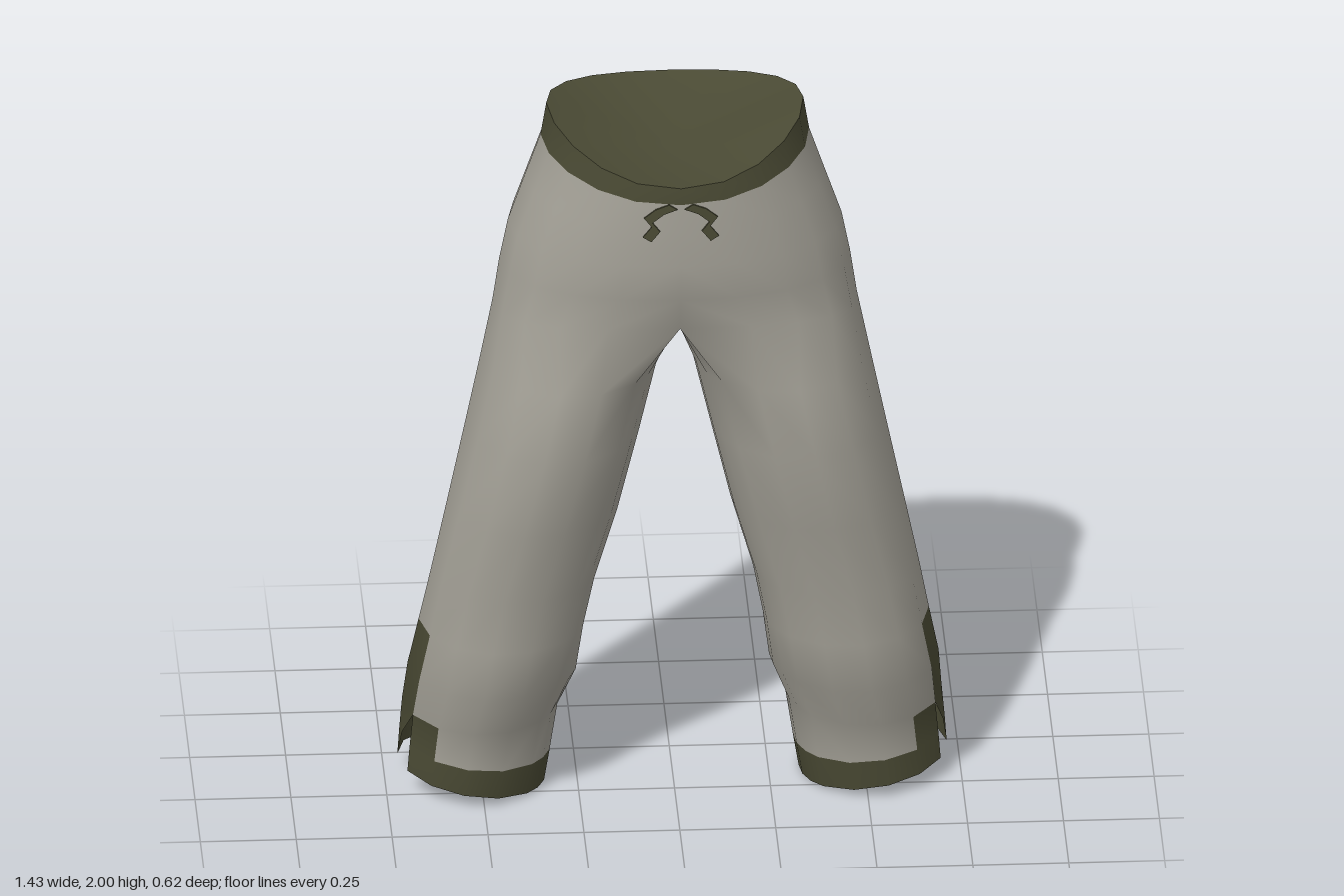
import * as THREE from 'three';
import { mergeVertices } from 'three/addons/utils/BufferGeometryUtils.js';

const rad = THREE.MathUtils.degToRad;

// Hip rows: front y, side y, back y, half width, front z, side z, back z
const hipRows = [
  [1.885, 2.0, 1.97, 0.335, 0.305, 0.01, -0.228],
  [1.84, 1.91, 1.885, 0.35, 0.31, 0.01, -0.24],
  [1.76, 1.79, 1.77, 0.39, 0.31, 0.0, -0.28],
  [1.66, 1.66, 1.66, 0.435, 0.31, 0.0, -0.308],
  [1.56, 1.55, 1.56, 0.457, 0.303, 0.0, -0.298],
  [1.46, 1.43, 1.45, 0.475, 0.265, 0.0, -0.255],
];

// Leg rows: y, inner x, outer x, front z, side z, back z, tilt of the row
const legRows = [
  [1.27, 0.045, 0.508, 0.272, 0.01, -0.24, 0],
  [1.08, 0.09, 0.547, 0.282, 0.01, -0.23, 0],
  [0.85, 0.145, 0.595, 0.24, 0.01, -0.215, 0],
  [0.64, 0.205, 0.638, 0.2, 0.0, -0.2, 0],
  [0.49, 0.232, 0.665, 0.19, -0.04, -0.24, 0],
  [0.35, 0.25, 0.692, 0.178, -0.07, -0.283, 0],
  [0.22, 0.295, 0.703, 0.11, -0.13, -0.295, 0],
  [0.11, 0.315, 0.711, 0.1, -0.125, -0.303, 0.02],
  [0.03, 0.33, 0.716, 0.09, -0.12, -0.31, 0.03],
];

// Half ring from front centre, round the side, to back centre (11 points)
function hipRing([yF, yS, yB, w, zF, zS, zB], row) {
  const pts = [];
  const power = row === hipRows.length - 1 ? 0.8 : 0.93;
  for (let i = 0; i <= 10; i++) {
    const a = rad(90 - 18 * i);
    const s = Math.sin(a);
    const x = i % 10 ? w * Math.pow(Math.cos(a), power) : 0;
    const d = Math.pow(Math.abs(s), power);
    const y = yS + ((s > 0 ? yF : yB) - yS) * s * s;
    let z = zS + d * ((s > 0 ? zF : zB) - zS);
    if (i === 10 && row > 1) z += 0.02; // seat crease
    pts.push([x, y, z]);
  }
  return pts;
}

// Closed ring of 16 points; the last five run along the inner leg
function legRing([y, xIn, xOut, zF, zS, zB, tilt]) {
  const cx = (xIn + xOut) / 2, r = (xOut - xIn) / 2;
  return Array.from({ length: 16 }, (_, i) => {
    const a = rad(i <= 10 ? 135 - 27 * i : -135 - 15 * (i - 10));
    const s = Math.sin(a), c = Math.cos(a);
    return [cx + r * c, y + tilt * c, zS + Math.abs(s) * ((s > 0 ? zF : zB) - zS)];
  });
}

function buildGeometry(faces) {
  const geo = new THREE.BufferGeometry();
  geo.setAttribute('position', new THREE.Float32BufferAttribute(faces.flat(3), 3));
  let start = 0;
  faces.forEach((list, m) => {
    geo.addGroup(start, list.length * 3, m);
    start += list.length * 3;
  });
  const merged = mergeVertices(geo, 1e-4);
  merged.computeVertexNormals();
  return merged;
}

export function createModel() {
  const cloth = new THREE.MeshStandardMaterial({ color: 0xa5a298, side: THREE.DoubleSide });
  cloth.name = 'greyCloth';
  const trim = new THREE.MeshStandardMaterial({ color: 0x4a4a34, side: THREE.DoubleSide });
  trim.name = 'oliveTrim';

  const hips = hipRows.map(hipRing);
  const legs = legRows.map(legRing);

  // Crotch line joins the back of the last hip row to its front
  const last = hips[hips.length - 1];
  const crotch = [...last];
  for (let i = 1; i <= 5; i++) {
    const t = i / 6;
    const y = THREE.MathUtils.lerp(last[10][1], last[0][1], t) - 0.06 * Math.sin(Math.PI * t);
    crotch.push([0, y, THREE.MathUtils.lerp(last[10][2], last[0][2], t)]);
  }
  const tubes = [crotch, ...legs];

  const faces = [[], []]; // cloth, trim
  const capFaces = [[]];
  for (const side of [1, -1]) {
    const tri = (list, a, b, c) =>
      list.push((side > 0 ? [a, b, c] : [a, c, b]).map(([x, y, z]) => [x * side, y, z]));
    const quad = (list, a, b, c, d) => {
      tri(list, a, d, c);
      tri(list, a, c, b);
    };
    // Waistband and hips
    for (let r = 0; r < hips.length - 1; r++)
      for (let i = 0; i < 10; i++)
        quad(faces[r === 0 ? 1 : 0], hips[r][i], hips[r][i + 1], hips[r + 1][i + 1], hips[r + 1][i]);

    // Legs, with trimmed hem and outer ankle slit
    for (let r = 0; r < tubes.length - 1; r++)
      for (let i = 0; i < 16; i++) {
        const j = (i + 1) % 16;
        const hem = r === 8, ankle = r >= 7;
        const strip = r >= 5 && i === 4;
        const list = faces[hem || strip || (ankle && i === 3) ? 1 : 0];
        const a = tubes[r][i], b = tubes[r][j], c = tubes[r + 1][j], d = tubes[r + 1][i];
        if (ankle && i === 4) {
          // Slit: straight front edge, slanting back edge
          const apex = tubes[7][4];
          const mid = tubes[8][5].map((v, k) => (v + (apex[k] + tubes[9][5][k]) / 2) / 2);
          if (hem) tri(list, b, mid, c);
          else {
            tri(list, a, mid, b);
            tri(list, mid, c, b);
          }
        } else quad(list, a, b, c, d);
      }

    // Dished surface inside the waist
    const centre = [0, 1.875, 0.03];
    for (let i = 0; i < 10; i++) tri(capFaces[0], hips[0][i], hips[0][i + 1], centre);
  }

  const model = new THREE.Group();
  model.name = 'trousers';
  const body = new THREE.Mesh(buildGeometry(faces), [cloth, trim]);
  body.name = 'legsAndWaistband';
  const cap = new THREE.Mesh(buildGeometry(capFaces), trim);
  cap.name = 'waistInside';
  model.add(body, cap);

  // Tied drawstring: a flat zigzag ribbon on each side
  const path = [[0.02, 1.835], [0.055, 1.82], [0.085, 1.795], [0.065, 1.77], [0.088, 1.74]];
  const half = 0.011;
  for (const side of [1, -1]) {
    const outline = [
      ...path.map(([x, y]) => new THREE.Vector2((x - half) * side, y - half * 0.6)),
      ...path.map(([x, y]) => new THREE.Vector2((x + half) * side, y + half * 0.6)).reverse(),
    ];
    const ribbon = new THREE.Mesh(
      new THREE.ExtrudeGeometry(new THREE.Shape(outline), { depth: 0.008, bevelEnabled: false }), trim);
    ribbon.position.z = 0.307;
    ribbon.rotation.y = side * 0.1;
    ribbon.name = side > 0 ? 'leftDrawstring' : 'rightDrawstring';
    model.add(ribbon);
  }
  return model;
}
